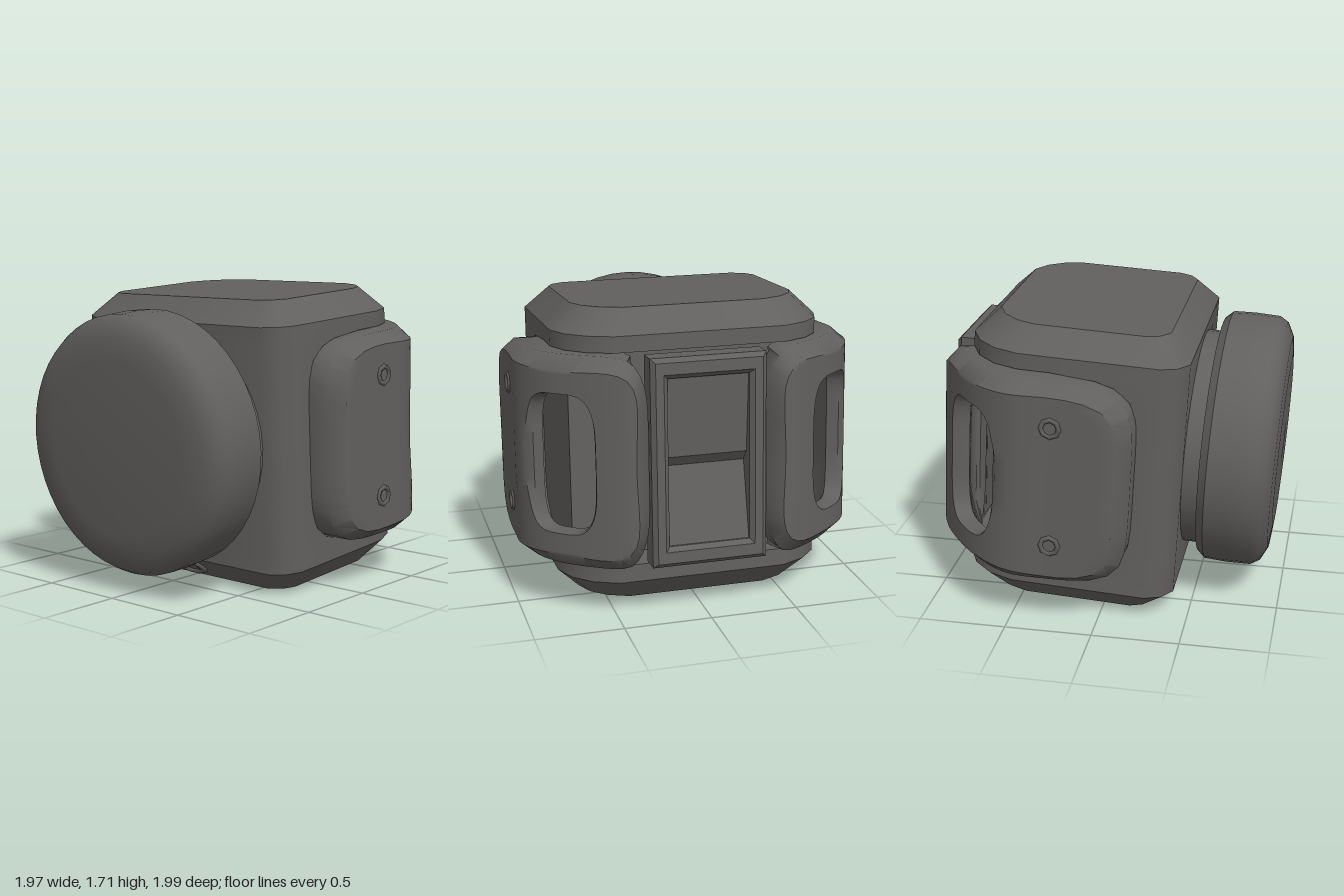
import * as THREE from 'three';
import { toCreasedNormals } from 'three/addons/utils/BufferGeometryUtils.js';

const TAU = Math.PI * 2;

// Skin a list of closed cross-sections (arrays of [x, y, z])
function loft(rings, crease = 0.65) {
  const n = rings[0].length, index = [];
  for (let i = 0; i < rings.length - 1; i++) {
    for (let j = 0; j < n; j++) {
      const k = (j + 1) % n;
      const a = i * n + j, b = i * n + k, c = b + n, d = a + n;
      index.push(a, b, c, a, c, d);
    }
  }
  const g = new THREE.BufferGeometry();
  g.setAttribute('position', new THREE.Float32BufferAttribute(rings.flat(2), 3));
  g.setIndex(index);
  return toCreasedNormals(g, crease);
}

// Body cross-section at height y; the recessed middle leaves room for the side shells
function bodyRing(y, inset, recessed) {
  let step = -0.3;
  if (recessed) {
    const t = Math.min(1, Math.abs(y) / 0.6);
    step = Math.max(-0.3, 0.2 - (1 - Math.pow(1 - t ** 6, 1 / 6)));
  }
  const half = [[0, 0.45], [0.64, 0.45], [0.73, 0.39], [0.77, 0.3], [0.77, step], [0.77, step],
    [0.77, -0.48], [0.72, -0.62], [0.62, -0.73], [0.48, -0.8], [0, -0.8]];
  const pts = half.map(([x, z], i) => {
    if (recessed && i > 4) { x = Math.min(x, 0.7); z = Math.max(z, -0.58); }
    return [x * (1 - inset / 0.77), y, -0.175 + (z + 0.175) * (1 - inset / 0.625)];
  });
  const mirrored = pts.slice(1, -1).reverse().map(([x, yy, z]) => [-x, yy, z]);
  return pts.concat(mirrored);
}

function bodyGeometry() {
  const rings = [];
  const centre = (y) => bodyRing(y, 0, false).map(() => [0, y, -0.175]);
  rings.push(centre(-0.835), bodyRing(-0.835, 0.13), bodyRing(-0.7, 0), bodyRing(-0.6, 0));
  for (const y of [-0.6, -0.58, -0.55, -0.48, -0.38, 0, 0.38, 0.48, 0.55, 0.58, 0.6]) {
    rings.push(bodyRing(y, 0, true));
  }
  rings.push(bodyRing(0.6, 0), bodyRing(0.69, 0), bodyRing(0.822, 0.13), centre(0.822));
  return loft(rings);
}

// Side shell: a rounded panel with a window, bent around the back corner
const shellPath = new THREE.CatmullRomCurve3([
  [0.97, 0.2], [0.97, 0], [0.97, -0.25], [0.965, -0.48], [0.86, -0.68],
  [0.64, -0.87], [0.45, -0.975], [0.34, -0.985],
].map(([x, z]) => new THREE.Vector3(x, 0, z)));

function shellGeometry(side) {
  const L = shellPath.getLength(), uc = 1.0, N = 72;
  const reach = (a, b, n, c, s) => Math.pow(Math.abs(c / a) ** n + Math.abs(s / b) ** n, -1 / n);
  const ring = (blend, inset, depth) => {
    const pts = [];
    for (let j = 0; j < N; j++) {
      const t = -side * j / N * TAU, c = Math.cos(t), s = Math.sin(t);
      const hole = reach(0.21, 0.385, 4, c, s);
      const edge = reach(c > 0 ? L - uc : uc, 0.595, 6, c, s) - inset;
      const r = hole + (edge - hole) * blend;
      const f = THREE.MathUtils.clamp((uc + c * r) / L, 0, 1);
      const p = shellPath.getPointAt(f), d = shellPath.getTangentAt(f);
      pts.push([side * (p.x + d.z * depth), s * r, p.z - d.x * depth]);
    }
    return pts;
  };
  const rings = [ring(0, 0, 0.1), ring(0, 0, 0.03)];
  for (let i = 0; i <= 9; i++) rings.push(ring(0.06 + 0.94 * i / 9, 0.08, 0));
  rings.push(ring(1, 0, 0.08), ring(1, 0, 0.22));
  for (let i = 5; i >= 0; i--) rings.push(ring(i / 6, 0, 0.1 + 0.12 * i / 6));
  return loft(rings, 0.8);
}

// Flat outline pushed out with a chamfer
function chamfered(shape, depth, bevel) {
  return new THREE.ExtrudeGeometry(shape, {
    depth: depth - 2 * bevel, bevelThickness: bevel, bevelSize: bevel,
    bevelOffset: -bevel, bevelSegments: 1,
  }).translate(0, 0, bevel);
}

function rectangle(target, w, h) {
  target.moveTo(-w, -h);
  target.lineTo(w, -h);
  target.lineTo(w, h);
  target.lineTo(-w, h);
  target.closePath();
  return target;
}

export function createModel() {
  const casing = new THREE.MeshStandardMaterial({ color: 0x62605e });
  casing.name = 'dark grey casing';

  const model = new THREE.Group();
  model.name = 'model';
  const unit = new THREE.Group();
  unit.name = 'tiltedUnit';
  unit.position.y = 0.853;
  unit.rotation.x = 0.055;
  model.add(unit);
  const add = (name, geometry) => {
    const mesh = new THREE.Mesh(geometry, casing);
    mesh.name = name;
    unit.add(mesh);
    return mesh;
  };

  add('body', bodyGeometry());

  // Large round front with chamfered rims, on a short neck
  const profile = [[0, 0.54], [0.62, 0.54], [0.7, 0.545], [0.74, 0.59], [0.745, 0.72],
    [0.74, 0.86], [0.71, 0.91], [0.63, 0.95], [0.5, 0.962], [0, 0.966]];
  const disc = new THREE.LatheGeometry(profile.map(([r, y]) => new THREE.Vector2(r, y)), 48);
  add('frontDisc', toCreasedNormals(disc.rotateX(Math.PI / 2), 0.65)).position.y = 0.04;
  const neck = new THREE.CylinderGeometry(0.635, 0.635, 0.2, 40).rotateX(Math.PI / 2);
  add('neck', neck).position.set(0, 0.02, 0.47);

  // Side shells and their screw sockets
  for (const side of [1, -1]) {
    const label = side > 0 ? 'left' : 'right';
    add(label + 'Shell', shellGeometry(side));
    for (const [y, z] of [[0.36, -0.24], [-0.34, -0.22]]) {
      const socket = add(label + 'ScrewSocket', new THREE.TorusGeometry(0.05, 0.016, 5, 8));
      socket.rotation.y = Math.PI / 2;
      socket.position.set(side * 0.968, y, z);
    }
  }

  // Back panel: frame around a stepped inset
  const frame = rectangle(new THREE.Shape(), 0.325, 0.585);
  frame.holes.push(rectangle(new THREE.Path(), 0.23, 0.47));
  add('backFrame', chamfered(frame, 0.17, 0.025)).position.z = -0.95;
  const inset = new THREE.Shape([[-0.78, 0.52], [-0.91, 0.5], [-0.87, 0.02], [-0.82, -0.04],
    [-0.92, -0.5], [-0.78, -0.52]].map(([z, y]) => new THREE.Vector2(-z, y)));
  const insetGeometry = new THREE.ExtrudeGeometry(inset, { depth: 0.5, bevelEnabled: false });
  add('backInset', insetGeometry.translate(0, 0, -0.25).rotateY(Math.PI / 2));

  // Socket on the lower front chamfer
  const mount = add('mountSocket', new THREE.TorusGeometry(0.06, 0.018, 5, 10));
  mount.scale.x = 1.6;
  mount.rotation.x = Math.PI / 4;
  mount.position.set(0, -0.768, 0.385);

  return model;
}
